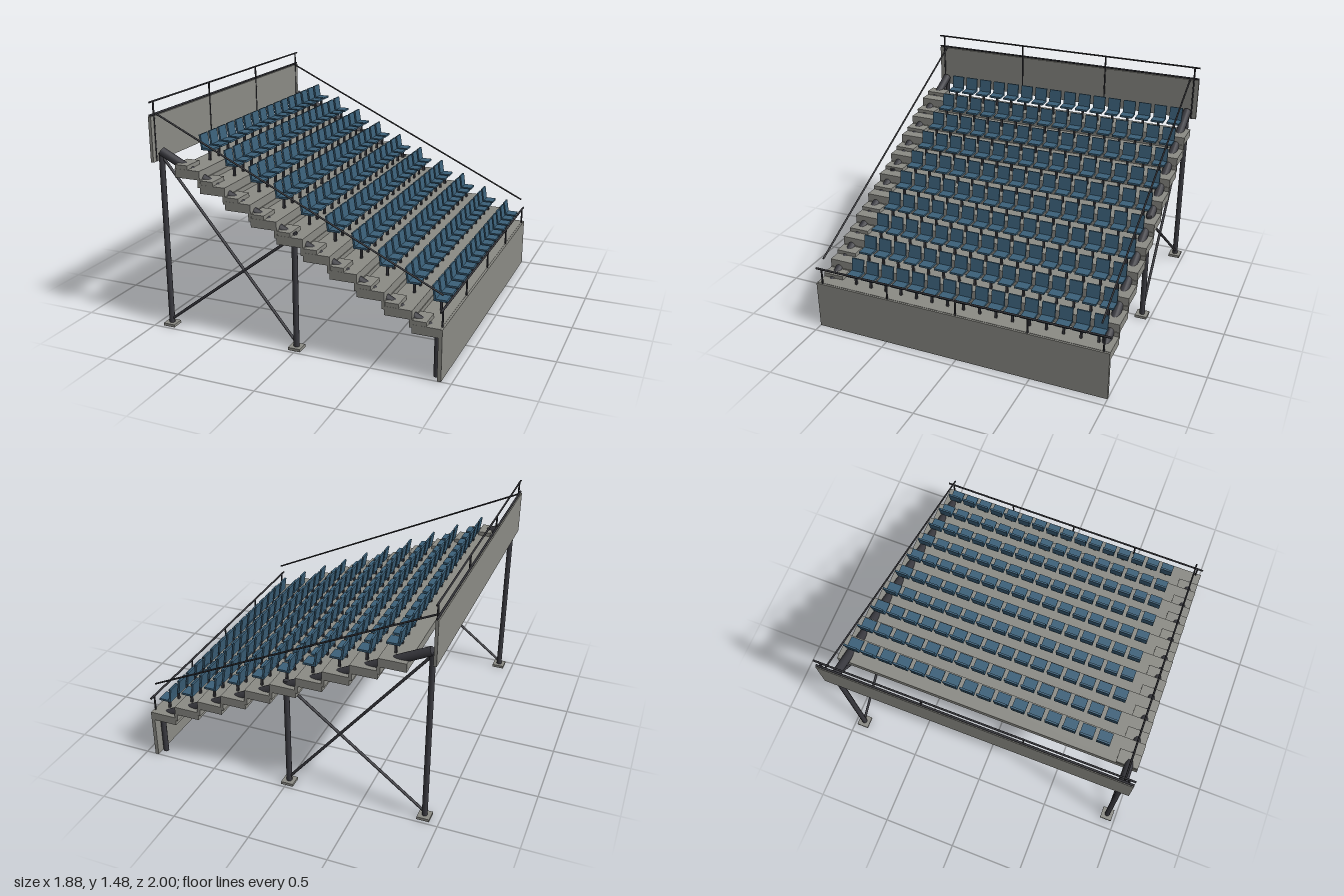
import * as THREE from 'three';

const material = (name, color, flatShading = false) => {
  const m = new THREE.MeshStandardMaterial({ color, flatShading });
  m.name = name;
  return m;
};

export function createModel() {
  const model = new THREE.Group();
  model.name = 'grandstand';
  const concrete = material('concrete grey', 0x8b8b85);
  const steel = material('dark steel', 0x3a3a40);
  const railing = material('railing steel', 0x303035);
  const plastic = material('seat blue', 0x3b6079);

  // Box given by its minimum and maximum corners
  const box = (name, mat, a, b, parent = model) => {
    const mesh = new THREE.Mesh(new THREE.BoxGeometry(b[0] - a[0], b[1] - a[1], b[2] - a[2]), mat);
    mesh.position.set((a[0] + b[0]) / 2, (a[1] + b[1]) / 2, (a[2] + b[2]) / 2);
    mesh.name = name;
    parent.add(mesh);
    return mesh;
  };

  // Round bar between two points
  const bar = (name, mat, a, b, radius, sides = 8) => {
    const start = new THREE.Vector3(...a), end = new THREE.Vector3(...b);
    const dir = end.clone().sub(start);
    const mesh = new THREE.Mesh(new THREE.CylinderGeometry(radius, radius, dir.length(), sides), mat);
    mesh.position.copy(start).add(end).multiplyScalar(0.5);
    mesh.quaternion.setFromUnitVectors(new THREE.Vector3(0, 1, 0), dir.normalize());
    mesh.name = name;
    model.add(mesh);
  };

  // One seat, standing on y = 0 with its post at the origin
  const seat = new THREE.Group();
  seat.name = 'seat';
  box('seatPost', steel, [-0.007, 0, -0.007], [0.007, 0.073, 0.007], seat);
  box('seatPan', plastic, [-0.036, 0.071, -0.043], [0.045, 0.084, 0.043], seat);
  const back = box('seatBack', plastic, [-0.041, 0.078, -0.043], [-0.029, 0.168, 0.043], seat);
  back.rotation.z = 0.15;

  // Ten terraces with risers, aisle half steps and rows of seats
  const rows = 10, run = 0.17, rise = 0.0835, seatsPerRow = 16;
  for (let i = 0; i < rows; i++) {
    const x = -0.775 + i * run, y = 1.08 - i * rise;
    box('tread', concrete, [x, y - 0.0555, -1], [x + run, y, 1]);
    if (i > 0) box('riser', concrete, [x - 0.015, y - 0.02, -1], [x + 0.005, y + 0.029, 1]);
    box('aisleStep', concrete, [x + 0.002, y - 0.03, 0.86], [x + 0.088, y + 0.026, 0.999]);
    for (let j = 0; j < seatsPerRow; j++) {
      const s = seat.clone();
      s.position.set(x + 0.097, y, 0.75 - j * 0.1103);
      model.add(s);
    }
  }

  // End walls
  box('frontWall', concrete, [0.914, 0, -1], [0.938, 0.326, 1]);
  box('backWall', concrete, [-0.943, 1.1, -1], [-0.924, 1.385, 1]);

  // Supporting frame and sloping handrail on each side
  for (const z of [-0.94, 0.94]) {
    bar('rakerBeam', steel, [-0.9, 1.16, z], [0.9, 0.278, z], 0.028, 16);
    for (const [x, top] of [[-0.903, 1.15], [-0.008, 0.76]]) {
      bar('column', steel, [x, 0, z], [x, top, z], 0.018, 12);
      box('footPlate', concrete, [x - 0.04, 0, z - 0.04], [x + 0.04, 0.018, z + 0.04]);
    }
    bar('frontColumn', steel, [0.892, 0, z], [0.892, 0.29, z], 0.018, 12);
    bar('brace', steel, [-0.9, 0.04, z], [-0.008, 0.73, z], 0.009);
    bar('brace', steel, [-0.9, 1.13, z], [-0.008, 0.04, z], 0.009);
    bar('sideHandrail', railing, [-0.925, 1.393, z], [0.92, 0.513, z], 0.006);
  }

  // Back railing, its posts fixed to the inner face of the wall
  bar('backRail', railing, [-0.928, 1.474, -1], [-0.928, 1.474, 1], 0.006);
  bar('backLowerRail', railing, [-0.932, 1.393, -1], [-0.932, 1.393, 1], 0.007);
  for (const z of [-0.965, -0.32, 0.32, 0.965])
    bar('backRailPost', railing, [-0.926, 1.1, z], [-0.926, 1.474, z], 0.006);

  // Front railing
  bar('frontRail', railing, [0.926, 0.432, -1], [0.926, 0.432, 1], 0.007);
  for (const z of [-0.96, -0.48, 0, 0.48, 0.96])
    bar('frontRailPost', railing, [0.926, 0.32, z], [0.926, 0.437, z], 0.006);

  return model;
}
